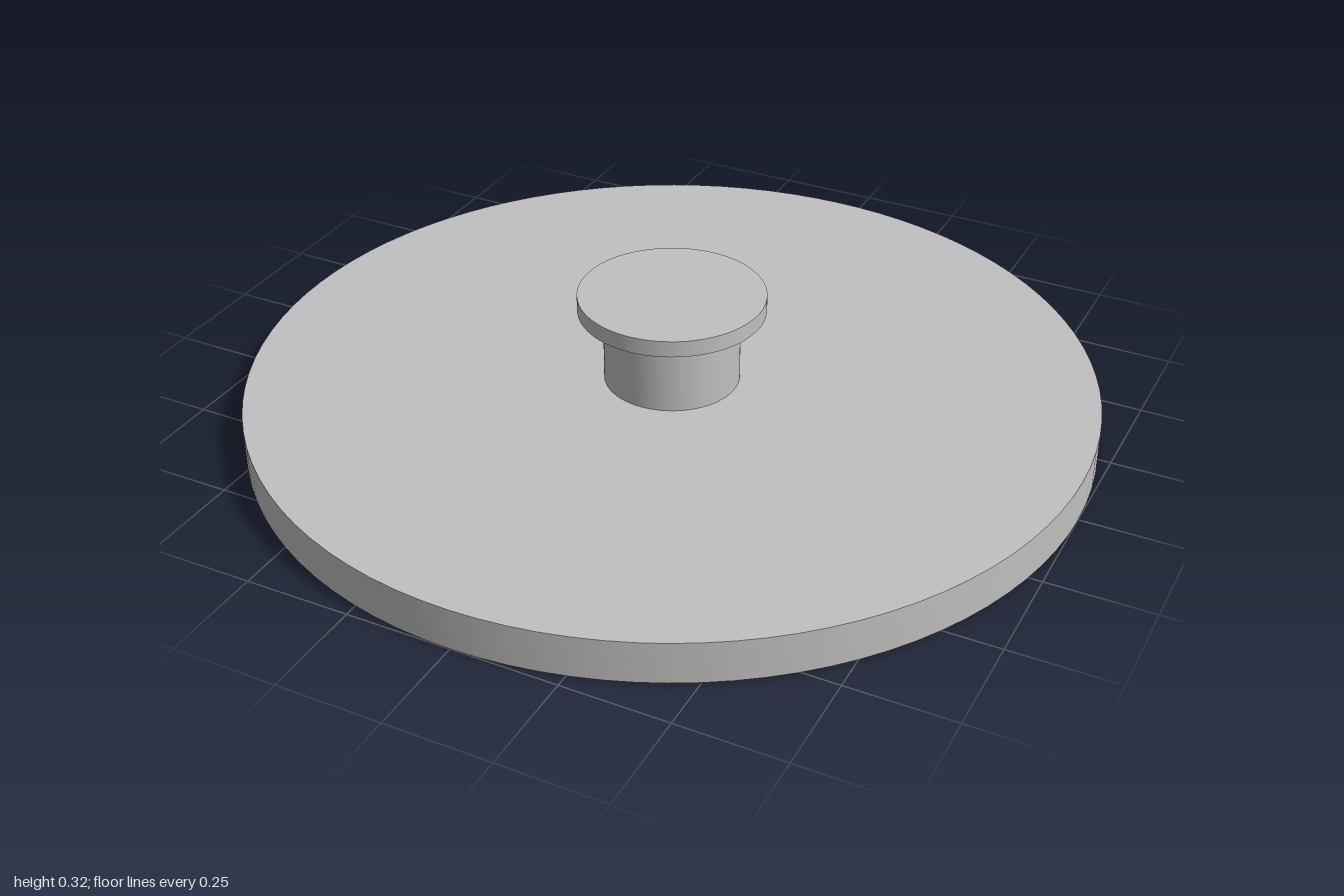
import * as THREE from 'three';
import { toCreasedNormals } from 'three/addons/utils/BufferGeometryUtils.js';

const SEGMENTS = 96;

export function createModel() {
  const group = new THREE.Group();
  group.name = 'lid';
  const metal = new THREE.MeshStandardMaterial({ color: 0xc0c0c0 });
  metal.name = 'grey metal';

  // Turns a closed [radius, height] profile around the y axis, with sharp edges
  const turn = (name, profile) => {
    const points = profile.map(([r, y]) => new THREE.Vector2(r, y));
    const geometry = toCreasedNormals(new THREE.LatheGeometry(points, SEGMENTS), 0.6);
    const mesh = new THREE.Mesh(geometry, metal);
    mesh.name = name;
    group.add(mesh);
  };

  // Flat disc with a thin rim, recessed underneath
  turn('lidDisc', [[0, 0.05], [0.97, 0.05], [0.97, 0], [1, 0], [1, 0.1], [0, 0.1]]);

  // Stem rising to a wider cap
  turn('knob', [[0.16, 0.1], [0.16, 0.28], [0.22, 0.28], [0.22, 0.32], [0, 0.32]]);

  return group;
}
